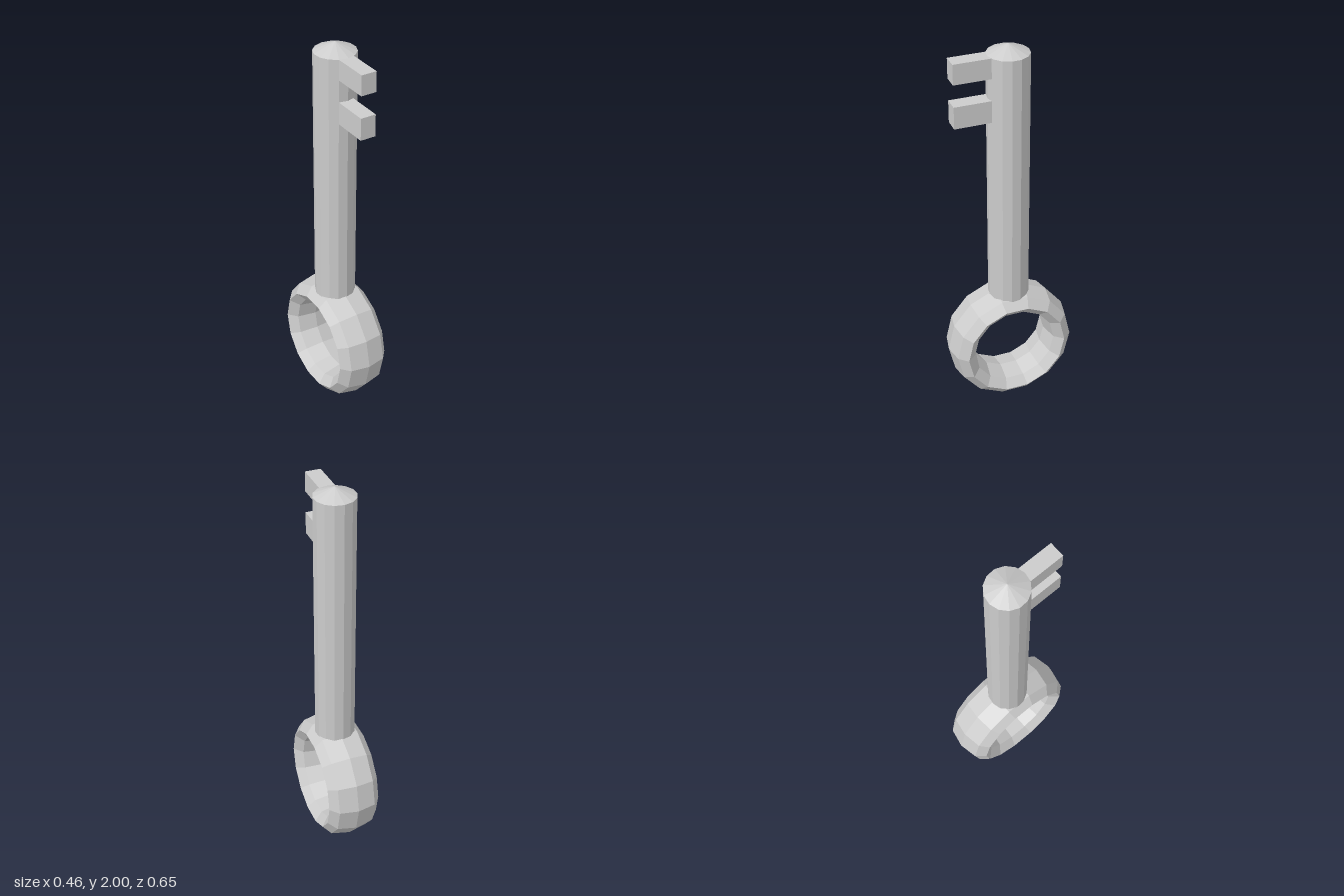
import * as THREE from 'three';

export function createModel() {
  const model = new THREE.Group();
  const material = new THREE.MeshStandardMaterial({ color: 0xcccccc, flatShading: true });

  const add = (parent, name, geometry, x = 0, y = 0, z = 0) => {
    const mesh = new THREE.Mesh(geometry, material);
    mesh.name = name;
    mesh.position.set(x, y, z);
    parent.add(mesh);
    return mesh;
  };

  // Round shaft with a shallow conical tip
  const sides = 14, radius = 0.104, bottom = 0.57, shoulder = 1.955;
  const shaft = new THREE.CylinderGeometry(radius, radius, shoulder - bottom, sides, 1, true);
  add(model, 'shaft', shaft, 0, (shoulder + bottom) / 2);
  const tip = new THREE.ConeGeometry(radius, 2 - shoulder, sides, 1, true);
  add(model, 'tip', tip, 0, (2 + shoulder) / 2);

  // Ring and teeth share one plane, turned about the shaft
  const turned = new THREE.Group();
  turned.name = 'ringAndTeeth';
  turned.rotation.y = Math.PI / 8;
  model.add(turned);

  // Wide, faceted ring handle
  const ring = new THREE.TorusGeometry(0.266, 0.066, 8, sides);
  ring.scale(1, 0.983, 2.07);
  ring.rotateY(Math.PI / 2);
  add(turned, 'ringHandle', ring, 0, 0.318);

  // Two teeth near the tip
  for (const [low, high] of [[1.63, 1.742], [1.853, 1.955]]) {
    const tooth = new THREE.BoxGeometry(0.079, high - low, 0.199);
    add(turned, 'tooth', tooth, 0, (low + high) / 2, 0.18);
  }

  return model;
}
